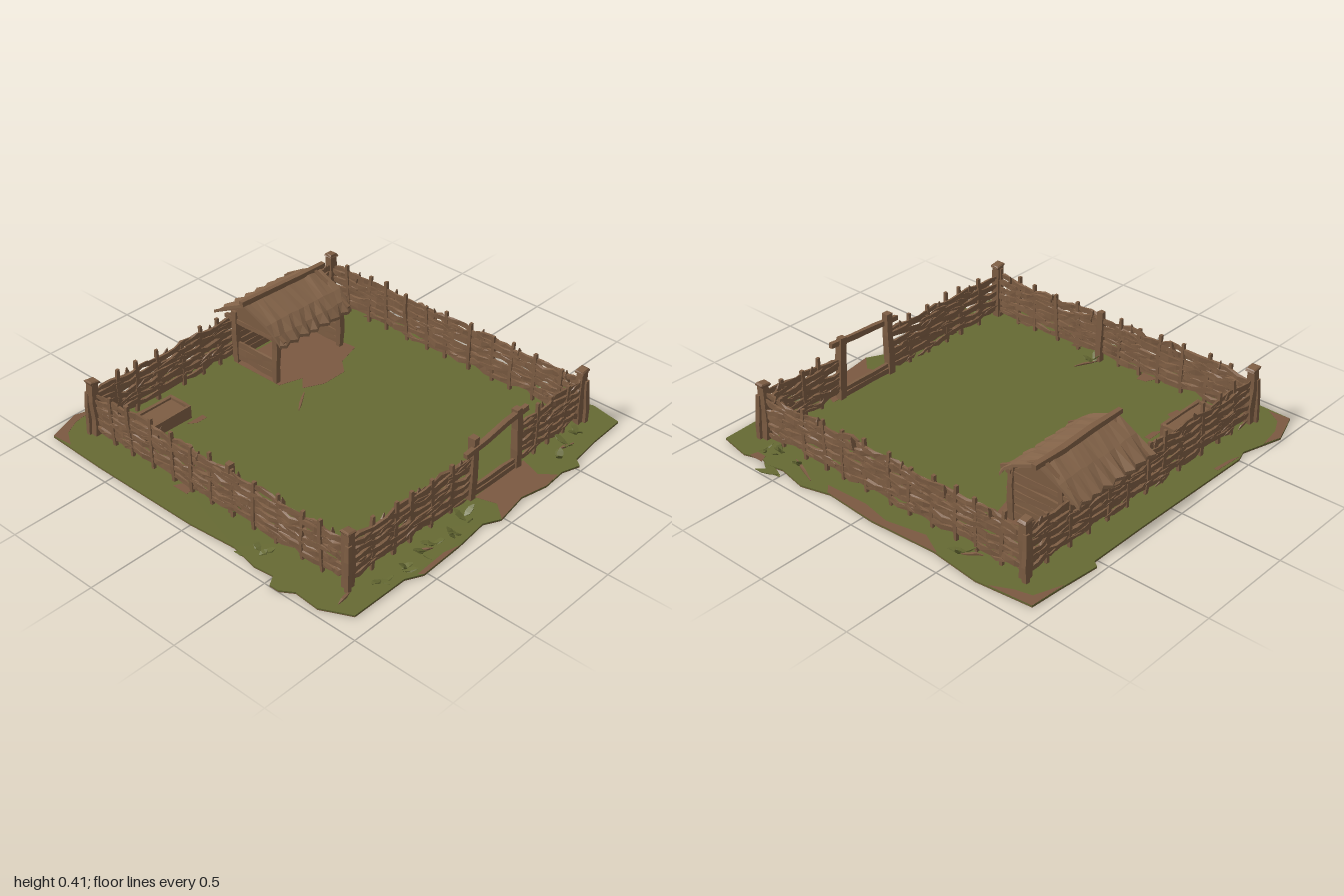
import * as THREE from 'three';
import { mergeGeometries } from 'three/addons/utils/BufferGeometryUtils.js';

const mat = (name, color) => Object.assign(new THREE.MeshStandardMaterial({ color }), { name });
const V = (x, y, z) => new THREE.Vector3(x, y, z);

export function createModel() {
  const wood = mat('wood', 0x7d5d43), roofing = mat('roofing', 0x846449);
  const grass = mat('grass', 0x666a33), dirt = mat('dirt', 0x7b5941);
  const group = new THREE.Group();

  let seed = 7;
  const rnd = () => (seed = (seed * 16807) % 2147483647) / 2147483647;
  const jit = (a) => (rnd() - 0.5) * 2 * a;

  // Flat-shaded skin over equal, even-sized cross-sections, closed at both ends
  function loft(rings) {
    const out = [], n = rings[0].length;
    const quad = (a, b, c, d) => [a, b, c, a, c, d].forEach((p) => out.push(p.x, p.y, p.z));
    for (let i = 0; i < rings.length - 1; i++) for (let k = 0; k < n; k++) {
      const m = (k + 1) % n;
      quad(rings[i][k], rings[i + 1][k], rings[i + 1][m], rings[i][m]);
    }
    const s = rings[0], e = rings[rings.length - 1];
    for (let j = 0; j < n / 2 - 1; j++) {
      quad(s[j], s[j + 1], s[n - 2 - j], s[n - 1 - j]);
      quad(e[n - 1 - j], e[n - 2 - j], e[j + 1], e[j]);
    }
    const g = new THREE.BufferGeometry();
    g.setAttribute('position', new THREE.Float32BufferAttribute(out, 3));
    g.computeVertexNormals();
    return g;
  }

  // Rough four-sided length of wood along a path; w and h are half sizes
  function strand(points, w, h, rough = 0.2, tip = 0.8) {
    const last = points.length - 1;
    const t = points[last].clone().sub(points[0]).normalize();
    const side = t.clone().cross(Math.abs(t.y) > 0.9 ? V(0, 0, 1) : V(0, 1, 0)).normalize();
    const up = side.clone().cross(t);
    return loft(points.map((p, i) => {
      const f = i === 0 || i === last ? tip : 1;
      return [[1, -1], [1, 1], [-1, 1], [-1, -1]].map(([a, b]) => p.clone()
        .addScaledVector(side, a * w * f * (1 + jit(rough)))
        .addScaledVector(up, b * h * f * (1 + jit(rough))));
    }));
  }
  const beam = (a, b, w, h = w, rough = 0.15, tip = 0.9, bend = 0.004) => strand([0, 0.33, 0.67, 1].map((f) => {
    const p = a.clone().lerp(b, f);
    return f > 0 && f < 1 ? p.add(V(jit(bend), jit(bend), jit(bend))) : p;
  }), w, h, rough, tip);

  function add(name, geos, material, parent = group) {
    const m = new THREE.Mesh(Array.isArray(geos) ? mergeGeometries(geos) : geos, material);
    m.name = name;
    parent.add(m);
  }

  // Ground: brown earth underneath, turf on top, bare patches
  const outline = [[-.94, -.93], [-.83, -.97], [-.77, -.99], [-.56, -.93], [-.5, -.95], [.2, -.94], [.52, -.94],
    [.54, -.97], [.76, -.95], [.91, -.94], [.94, -.66], [.91, -.4], [.93, -.05], [.91, .22], [.95, .37], [.92, .52],
    [.94, .6], [.92, .66], [.95, .75], [.92, .91], [.72, .92], [.55, .94], [.52, .98], [.43, .95], [.3, .96],
    [.16, .93], [-.02, .96], [-.1, .92], [-.28, .94], [-.52, .95], [-.6, .91], [-.9, .91], [-.97, .77], [-.96, .64],
    [-1, .58], [-1, .53], [-.95, .5], [-.96, .4], [-.93, .25], [-.95, 0], [-.95, -.6]];
  const plate = (pts, y, depth) => new THREE.ExtrudeGeometry(
    new THREE.Shape(pts.map(([x, z]) => new THREE.Vector2(x, -z))), { depth, bevelEnabled: false })
    .rotateX(-Math.PI / 2).translate(0, y, 0);
  add('earth', plate(outline, 0, 0.003), dirt);
  add('turf', plate(outline, 0.003, 0.007), grass);
  const patches = [
    [[.02, .78], [.38, .77], [.34, .88], [.4, .95], [.3, .96], [.16, .93], [-.02, .96], [.05, .88]],
    [[.06, -.76], [.52, -.76], [.56, -.42], [.42, -.38], [.36, -.31], [.22, -.31], [.12, -.36], [.18, -.42], [.06, -.46]],
    [[.91, -.42], [.93, -.05], [.91, .24], [.87, .28], [.86, .05], [.89, -.1], [.85, -.3]],
    [[-.94, -.93], [-.77, -.99], [-.68, -.96], [-.8, -.94], [-.88, -.9], [-.93, -.82]],
    [[.72, -.95], [.91, -.94], [.93, -.72], [.88, -.82], [.86, -.9]],
    [[-.82, -.25], [-.76, -.22], [-.75, -.17], [-.82, -.16]],
    [[-.65, -.53], [-.57, -.52], [-.59, -.48], [-.65, -.49]],
    [[-.46, -.55], [-.36, -.55], [-.36, -.52], [-.42, -.52]],
    [[-.54, .93], [-.36, .92], [-.28, .94], [-.52, .95]],
    [[-.52, -.94], [-.36, -.93], [-.36, -.91], [-.46, -.92]],
    [[.9, .66], [.94, .64], [.94, .72], [.9, .71]]];
  patches.forEach((p) => add('barePatch', plate(p, 0.0095, 0.0015), dirt));

  // Woven fence: strands weave in and out of upright stakes
  const fence = new THREE.Group();
  fence.name = 'fence';
  group.add(fence);
  const lerp = THREE.MathUtils.lerp;
  function wovenRun(name, ax, az, bx, bz) {
    const len = Math.hypot(bx - ax, bz - az), dx = (bx - ax) / len, dz = (bz - az) / len;
    const at = (s, y, o) => V(ax + dx * s - dz * o, y, az + dz * s + dx * o);
    const count = Math.max(2, Math.round(len / 0.13)), gap = len / count, withies = [], stakes = [];
    for (let r = 0; r < 10; r++) {
      const y = 0.05 + r * 0.0205;
      let start = 0, end = 0;
      while (end < len) {
        end = Math.min(len, start + 0.2 + rnd() * 0.25);
        const pts = [], tilt = jit(0.012);
        for (let i = 0; i <= 6; i++) {
          const q = lerp(start, end, i / 6);
          pts.push(at(q, y + tilt * (i / 3 - 1) + jit(0.006),
            0.010 * Math.sin(Math.PI * (q / gap + r)) + jit(0.003)));
        }
        withies.push(strand(pts, 0.006, 0.013, 0.3, 0.35));
        start = end - 0.05;
      }
    }
    // loose splinters on both faces
    for (let i = 0; i < len * 42; i++) {
      const s = rnd() * (len - 0.12), y = 0.04 + rnd() * 0.19, o = (i % 2 ? 1 : -1) * (0.013 + rnd() * 0.006);
      withies.push(beam(at(s, y, o), at(s + 0.06 + rnd() * 0.06, y + jit(0.025), o * 0.8), 0.003, 0.007, 0.3, 0.15));
    }
    for (let i = 0; i <= count; i++) {
      const s = THREE.MathUtils.clamp(i * gap + jit(0.02), 0, len), top = 0.255 + rnd() * 0.04;
      stakes.push(beam(at(s, 0.004, 0), at(s + jit(0.012), top, jit(0.008)), 0.010, 0.009, 0.2, 0.8));
      if (i % 2 && i < count) stakes.push(beam(at(s + 0.05, 0.19, 0), at(s + 0.05 + jit(0.025), 0.265, jit(0.012)), 0.012, 0.004, 0.2, 0.2));
    }
    add(name + 'Withies', withies, wood, fence);
    add(name + 'Stakes', stakes, wood, fence);
  }
  const E = 0.79, F = 0.77;
  wovenRun('back', -E, -0.8, E, -0.8);
  wovenRun('left', E, -0.8, E, F);
  wovenRun('right', -E, -0.8, -E, F);
  wovenRun('frontShort', 0.32, F, E, F);
  wovenRun('frontLong', -E, F, 0, F);
  for (const x of [-E, E]) for (const z of [-0.8, F]) {
    add('cornerPost', [beam(V(x, 0.004, z), V(x, 0.29, z), 0.021),
      beam(V(x, 0.285, z), V(x + jit(0.005), 0.305, z), 0.026, 0.024, 0.1, 0.75),
      beam(V(x * 1.03, 0.004, z * 1.03), V(x * 1.02, 0.24, z * 1.02), 0.012)], wood, fence);
  }
  add('sidePost', beam(V(-0.77, 0.004, 0.08), V(-0.78, 0.28, 0.08), 0.016), wood, fence);

  // Gateway
  const gate = new THREE.Group();
  gate.name = 'gateway';
  group.add(gate);
  add('gatePost', beam(V(0, 0.004, F), V(0.002, 0.34, F), 0.019), wood, gate);
  add('gatePost', beam(V(0.325, 0.004, F), V(0.305, 0.335, F), 0.019), wood, gate);
  add('gateLintel', beam(V(-0.07, 0.282, F + 0.015), V(0.37, 0.312, F + 0.005), 0.012, 0.014), wood, gate);
  add('gateSill', [beam(V(0.01, 0.03, F), V(0.32, 0.025, F), 0.01, 0.014),
    beam(V(0.01, 0.06, F), V(0.32, 0.052, F), 0.008, 0.011)], wood, gate);

  // Shelter frame, plank walls and gables
  const shelter = new THREE.Group();
  shelter.name = 'shelter';
  group.add(shelter);
  const frame = [], planks = [], ridgeZ = -0.665;
  for (const x of [0.075, 0.52]) {
    frame.push(beam(V(x, 0.004, -0.49), V(x, 0.29, -0.49), 0.015), beam(V(x, 0.004, -0.76), V(x, 0.3, -0.76), 0.015),
      beam(V(x, 0.25, -0.46), V(x, 0.25, -0.83), 0.011),
      beam(V(x, 0.255, -0.43), V(x, 0.375, ridgeZ), 0.01), beam(V(x, 0.265, -0.86), V(x, 0.375, ridgeZ), 0.01));
    const rows = x > 0.3 ? 6 : 3;
    for (let i = 0; i < rows; i++) {
      const y = 0.04 + i * 0.037;
      planks.push(beam(V(x, y, -0.48), V(x, y + jit(0.005), -0.79), 0.006, 0.0175));
    }
    const tri = new THREE.Shape([[0.47, 0.25], [0.83, 0.25], [-ridgeZ, 0.37]].map(([a, b]) => new THREE.Vector2(a, b)));
    add('gable', new THREE.ExtrudeGeometry(tri, { depth: 0.01, bevelEnabled: false })
      .rotateY(Math.PI / 2).translate(x - 0.005, 0, 0), wood, shelter);
  }
  frame.push(beam(V(0.06, 0.26, -0.485), V(0.54, 0.26, -0.485), 0.012));
  for (let i = 0; i < 7; i++) {
    const y = 0.04 + i * 0.037;
    planks.push(beam(V(0.07, y, -0.765), V(0.52, y + jit(0.005), -0.765), 0.006, 0.0175));
  }
  add('shelterFrame', frame, wood, shelter);
  add('shelterPlanks', planks, wood, shelter);

  // Sagging roof with ragged eaves, and its ridge pole
  const profile = [[-0.43, 0.248], [-0.465, 0.285], [-0.52, 0.325], [ridgeZ, 0.385], [-0.77, 0.335], [-0.87, 0.272]];
  const columns = [];
  for (let i = 0; i <= 14; i++) {
    const x = 0.045 + i * 0.036, rag = (i % 2 ? 1 : -1) * (0.006 + rnd() * 0.007), lean = -0.01 * i / 14;
    const top = profile.map(([z, y], k) => V(x + jit(0.007),
      y + lean + jit(0.004), z + (k === 0 || k === 5 ? rag : jit(0.003)) + (k === 1 ? rag * 0.4 : 0)));
    columns.push([...top, ...top.map((p) => p.clone().add(V(0, -0.016, 0))).reverse()]);
  }
  add('roof', loft(columns), roofing, shelter);
  add('ridgePole', beam(V(0.025, 0.396, ridgeZ - 0.003), V(0.585, 0.38, ridgeZ + 0.003), 0.014, 0.013), wood, shelter);

  // Trough: filled box with a raised rim
  const trough = [beam(V(-0.69, 0.04, -0.64), V(-0.42, 0.04, -0.64), 0.058, 0.025, 0.02, 1, 0)];
  for (const z of [-0.7, -0.578]) trough.push(beam(V(-0.7, 0.045, z), V(-0.41, 0.045, z), 0.008, 0.033, 0.08, 1, 0.001));
  for (const x of [-0.693, -0.417]) trough.push(beam(V(x, 0.045, -0.705), V(x, 0.045, -0.573), 0.008, 0.033, 0.08, 1, 0.001));
  add('trough', trough, wood);

  // Grass tufts and fallen twigs around the edges
  const blades = [], twigs = [];
  const tufts = [[-.68, .86], [-.55, .88], [-.42, .87], [-.36, .84], [-.24, .88], [-.12, .85], [.5, .87], [.6, .84],
    [.72, .83], [.85, .5], [.84, .62], [.86, .7], [.84, -.5], [.62, -.74], [-.88, .35], [-.74, .1]];
  for (const [x, z] of tufts) for (let i = 0; i < 3; i++) {
    const a = rnd() * 6.28, l = 0.03 + rnd() * 0.04;
    blades.push(beam(V(x + jit(0.02), 0.012, z + jit(0.02)),
      V(x + Math.cos(a) * l, 0.025 + rnd() * 0.03, z + Math.sin(a) * l), 0.014, 0.003, 0.2, 0.2, 0.002));
  }
  for (const [x, z, u, w] of [[.94, .62, .965, .49], [.955, .5, .995, .62], [.86, .45, .94, .35], [-.95, .27, -.9, .37]])
    blades.push(beam(V(x, 0.009, z), V(u, 0.007, w), 0.016, 0.002, 0.1, 0.15, 0.002));
  for (const [x, z, u, w] of [[-.78, .07, -.64, .13], [-.03, -.24, .1, -.33], [.83, .53, .9, .36], [-.9, .82, -.81, .8],
    [.8, -.58, .85, -.5], [.55, .84, .64, .86], [-.44, .83, -.37, .87]])
    twigs.push(beam(V(x, 0.016, z), V(u, 0.013, w), 0.006, 0.005, 0.2, 0.3));
  add('grassTufts', blades, grass);
  add('fallenTwigs', twigs, wood);

  return group;
}
